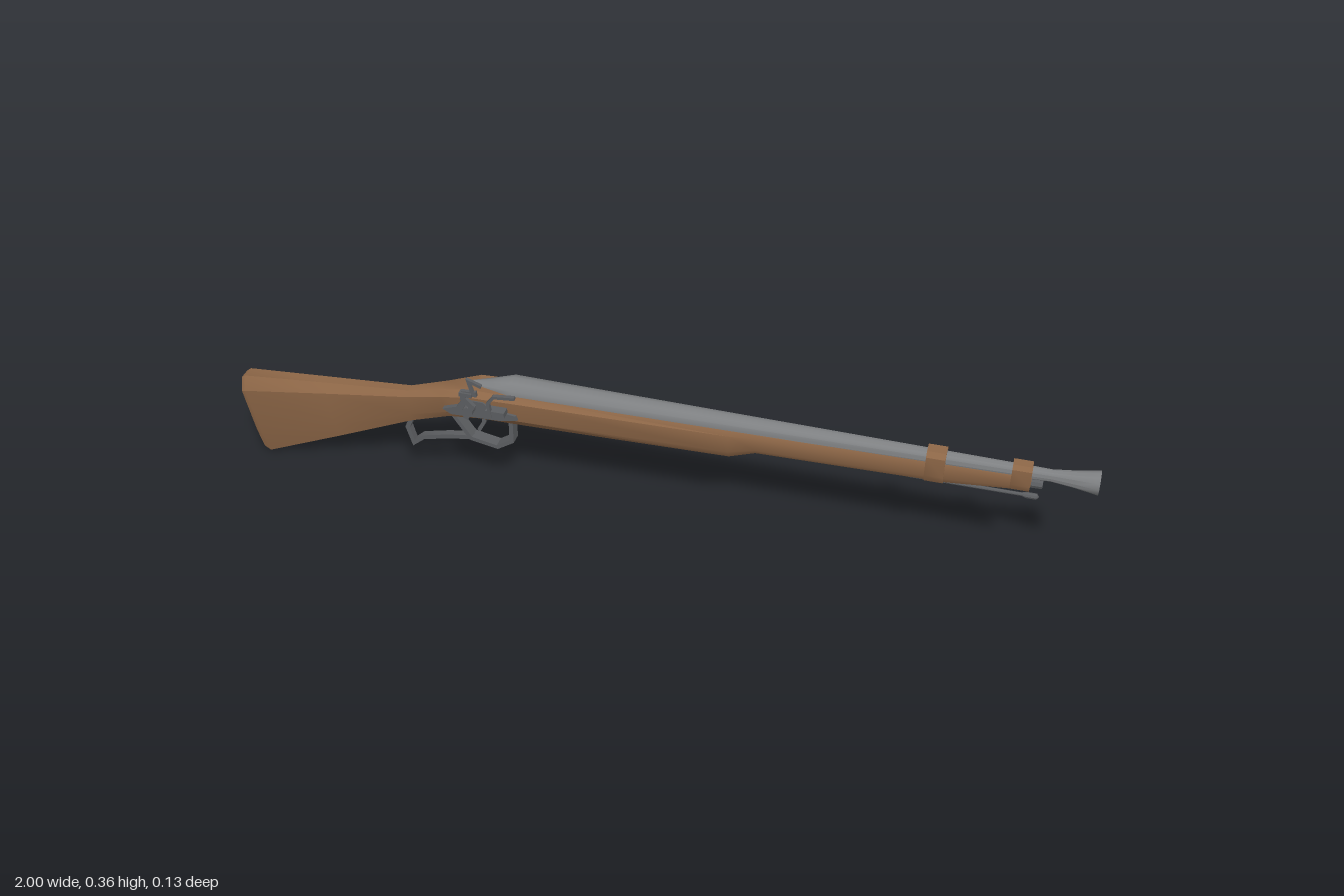
import * as THREE from 'three';
import { toCreasedNormals } from 'three/addons/utils/BufferGeometryUtils.js';

const Z = -0.014; // centre plane of the gun
const wood = new THREE.MeshStandardMaterial({ color: 0x8f6848 });
const steel = new THREE.MeshStandardMaterial({ color: 0x808284 });
const iron = new THREE.MeshStandardMaterial({ color: 0x5c5e61 });

export function createModel() {
  const group = new THREE.Group();

  function add(name, geometry, material, crease = 0.6) {
    const mesh = new THREE.Mesh(toCreasedNormals(geometry, crease), material);
    mesh.name = name;
    group.add(mesh);
    return mesh;
  }

  // Eight-sided sections joined along x.
  // Section: [xTop, yTop, xBottom, yBottom, topHalf, half, lowHalf, bottomHalf]
  function loft(sections) {
    const pos = [];
    const rings = sections.map(([xt, yt, xb, yb, wt, w, wl, wb]) => {
      const half = [[wt, 0], [w, 0.14], [wl, 0.72], [wb, 1]];
      const ring = [...half, ...half.slice().reverse().map(([a, t]) => [-a, t])];
      return ring.map(([a, t]) => [xt + (xb - xt) * t, yt + (yb - yt) * t, Z + a]);
    });
    const tri = (a, b, c) => pos.push(...a, ...b, ...c);
    for (let i = 0; i < rings.length - 1; i++) {
      for (let j = 0; j < 8; j++) {
        const k = (j + 1) % 8, A = rings[i], B = rings[i + 1];
        tri(A[j], A[k], B[k]);
        tri(A[j], B[k], B[j]);
      }
    }
    const first = rings[0], last = rings[rings.length - 1];
    for (let j = 1; j < 7; j++) {
      tri(first[0], first[j + 1], first[j]);
      tri(last[0], last[j], last[j + 1]);
    }
    const g = new THREE.BufferGeometry();
    g.setAttribute('position', new THREE.Float32BufferAttribute(pos, 3));
    return g;
  }

  // Flat outline in xy with a depth in z
  function plate(points, depth, z) {
    const shape = new THREE.Shape(points.map(p => new THREE.Vector2(...p)));
    const g = new THREE.ExtrudeGeometry(shape, { depth, bevelEnabled: false });
    return g.translate(0, 0, z - depth / 2);
  }

  // Flat bar of even thickness that follows a bent path in xy
  function bar(path, thick, depth, z) {
    const p = path.map(a => new THREE.Vector2(...a));
    const side = s => p.map((v, i) => {
      const d1 = p[Math.max(i, 1)].clone().sub(p[Math.max(i, 1) - 1]).normalize();
      const n = Math.min(i + 1, p.length - 1);
      const d2 = p[n].clone().sub(p[n - 1]).normalize();
      const d = d1.clone().add(d2).normalize();
      const r = s * thick / 2 / Math.max(0.6, d.dot(d1));
      return [v.x - d.y * r, v.y + d.x * r];
    });
    return plate([...side(1), ...side(-1).reverse()], depth, z);
  }

  // Turned part along x; profile holds [x, radius]
  function turned(profile, sides) {
    const g = new THREE.LatheGeometry(profile.map(([x, r]) => new THREE.Vector2(r, x)), sides);
    return g.rotateZ(-Math.PI / 2);
  }

  // Stock from butt to fore-end
  add('stock', loft([
    [-1.0, 0.215, -0.972, 0.012, 0.014, 0.032, 0.022, 0.012],
    [-0.99, 0.222, -0.955, 0.004, 0.016, 0.036, 0.026, 0.014],
    [-0.78, 0.239, -0.76, 0.086, 0.013, 0.028, 0.023, 0.012],
    [-0.57, 0.255, -0.57, 0.168, 0.011, 0.021, 0.019, 0.010],
    [-0.48, 0.281, -0.47, 0.205, 0.018, 0.034, 0.031, 0.016],
    [-0.40, 0.303, -0.39, 0.217, 0.032, 0.047, 0.043, 0.021],
    [-0.28, 0.305, -0.28, 0.219, 0.036, 0.046, 0.042, 0.022],
    [0.20, 0.304, 0.20, 0.226, 0.028, 0.033, 0.030, 0.017],
    [0.26, 0.304, 0.26, 0.247, 0.027, 0.031, 0.028, 0.016],
    [0.68, 0.303, 0.68, 0.250, 0.018, 0.020, 0.018, 0.010],
    [0.82, 0.303, 0.82, 0.262, 0.015, 0.017, 0.015, 0.009],
    [0.86, 0.303, 0.86, 0.272, 0.013, 0.015, 0.013, 0.008],
  ]), wood);

  // Wooden bands holding the barrel
  for (const [x, bottom, w] of [[0.655, 0.247, 0.023], [0.838, 0.262, 0.019]]) {
    const ring = dx => [x + dx, 0.329, x + dx, bottom, w * 0.6, w, w, w * 0.5];
    add('barrelBand', loft([ring(-0.021), ring(0.021)]), wood);
  }

  // Tapered barrel with pointed breech and open flared muzzle
  const barrel = add('barrel', turned([
    [-0.41, 0], [-0.41, 0.009], [-0.36, 0.022], [-0.31, 0.036], [0.86, 0.0145],
    [0.90, 0.0135], [0.95, 0.019], [1.0, 0.027], [1.0, 0.024], [0.95, 0.014],
    [0.90, 0.008], [0.85, 0],
  ], 12), steel);
  barrel.position.set(0, 0.301, Z);
  barrel.rotation.z = 0.0078;

  // Ramrod, its knob and the fore-end tip
  const rod = add('ramrod', turned([
    [0.60, 0], [0.60, 0.004], [0.845, 0.004], [0.855, 0.007], [0.877, 0.007], [0.882, 0],
  ], 8), iron);
  rod.position.set(0, 0.245, Z);
  const tip = add('foreEndTip', turned([[0.84, 0], [0.84, 0.012], [0.885, 0.011], [0.885, 0]], 8), iron);
  tip.position.set(0, 0.281, Z);

  // Plates on both sides of the lock
  const outline = [
    [-0.47, 0.25], [-0.45, 0.238], [-0.33, 0.242], [-0.288, 0.25], [-0.292, 0.262],
    [-0.35, 0.268], [-0.37, 0.285], [-0.42, 0.285], [-0.435, 0.262],
  ];
  add('lockPlate', plate(outline, 0.012, 0.030), iron);
  add('sidePlate', plate([
    [-0.465, 0.25], [-0.44, 0.238], [-0.34, 0.24], [-0.285, 0.258], [-0.33, 0.274], [-0.42, 0.28],
  ], 0.012, Z * 2 - 0.029), iron);

  // Cock with pivot, jaw and spur
  const pivot = new THREE.CylinderGeometry(0.013, 0.013, 0.03, 10).rotateX(Math.PI / 2);
  add('cockPivot', pivot.translate(-0.40, 0.268, 0.044), iron);
  add('cock', bar([
    [-0.405, 0.25], [-0.388, 0.285], [-0.408, 0.305], [-0.405, 0.32], [-0.375, 0.322],
  ], 0.013, 0.009, 0.0545), iron);
  add('cockSpur', bar([[-0.382, 0.318], [-0.393, 0.357], [-0.362, 0.345]], 0.008, 0.008, 0.0555), iron);
  add('cockJaw', new THREE.BoxGeometry(0.03, 0.01, 0.015).translate(-0.40, 0.319, 0.056), iron);

  // Frizzen arm and priming pan
  add('frizzen', bar([
    [-0.345, 0.262], [-0.35, 0.30], [-0.335, 0.32], [-0.285, 0.325],
  ], 0.007, 0.01, 0.052), iron);
  add('primingPan', new THREE.BoxGeometry(0.045, 0.014, 0.026).translate(-0.335, 0.272, 0.042), iron);

  // Trigger guard loop, trigger and finger lever
  add('triggerGuard', bar([
    [-0.318, 0.225], [-0.318, 0.160], [-0.355, 0.136], [-0.42, 0.149], [-0.462, 0.212],
  ], 0.010, 0.03, Z), iron);
  add('trigger', bar([[-0.385, 0.225], [-0.388, 0.195], [-0.402, 0.17]], 0.009, 0.012, Z), iron);
  add('fingerLever', bar([
    [-0.415, 0.148], [-0.48, 0.138], [-0.545, 0.122], [-0.57, 0.101], [-0.582, 0.145], [-0.57, 0.175],
  ], 0.011, 0.018, Z), iron);

  return group;
}
